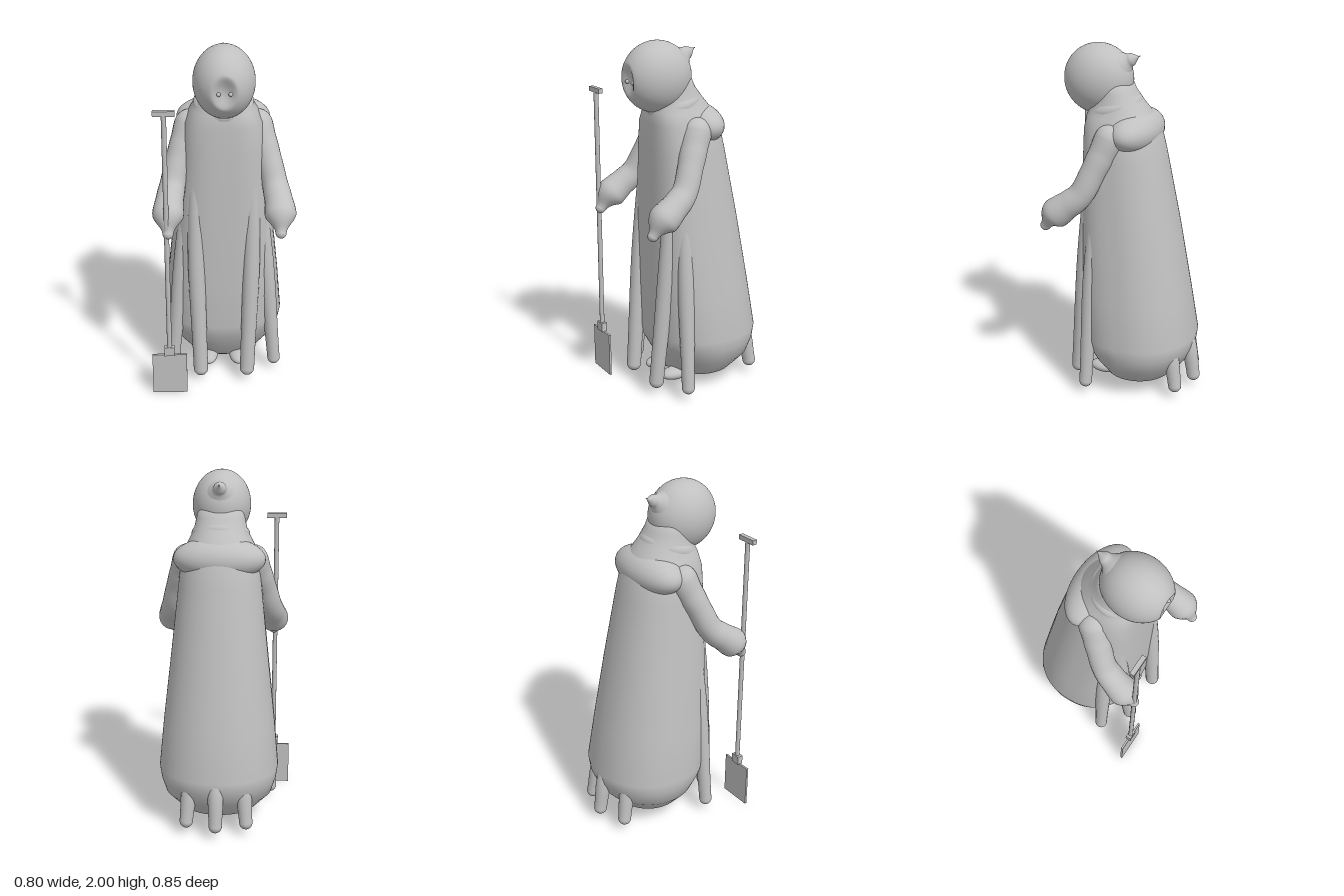
import * as THREE from 'three';
import { mergeVertices } from 'three/addons/utils/BufferGeometryUtils.js';

const grey = new THREE.MeshStandardMaterial({ color: 0xc0c0c0 });
grey.name = 'plain grey';
const V = (x, y, z) => new THREE.Vector3(x, y, z);

function add(parent, name, geometry, x = 0, y = 0, z = 0) {
  const mesh = new THREE.Mesh(geometry, grey);
  mesh.name = name;
  mesh.position.set(x, y, z);
  parent.add(mesh);
  return mesh;
}

function ellipsoid(parent, name, [x, y, z], [rx, ry, rz], detail = 32) {
  return add(parent, name, new THREE.SphereGeometry(1, detail, detail).scale(rx, ry, rz), x, y, z);
}

// Tube with a varying radius and round ends
function limb(parent, name, points, radii) {
  const curve = new THREE.CatmullRomCurve3(points.map((p) => V(...p)));
  const rings = 40, sides = 22;
  let geo = new THREE.TubeGeometry(curve, rings, 1, sides);
  const pos = geo.attributes.position, v = V(0, 0, 0);
  for (let i = 0; i <= rings; i++) {
    const centre = curve.getPointAt(i / rings);
    const t = (i / rings) * (radii.length - 1);
    const k = Math.min(Math.floor(t), radii.length - 2);
    const r = THREE.MathUtils.lerp(radii[k], radii[k + 1], THREE.MathUtils.smoothstep(t - k, 0, 1));
    for (let j = 0; j <= sides; j++) {
      const n = i * (sides + 1) + j;
      v.fromBufferAttribute(pos, n).sub(centre).multiplyScalar(r).add(centre);
      pos.setXYZ(n, v.x, v.y, v.z);
    }
  }
  geo.deleteAttribute('normal');
  geo.deleteAttribute('uv');
  geo = mergeVertices(geo, 1e-5);
  geo.computeVertexNormals();
  const group = new THREE.Group();
  group.name = name;
  add(group, name + 'Tube', geo);
  ellipsoid(group, name + 'Start', points[0], [radii[0], radii[0], radii[0]], 18);
  const e = radii[radii.length - 1];
  ellipsoid(group, name + 'End', points[points.length - 1], [e, e, e], 18);
  parent.add(group);
}

// Robe from cross-sections: height, half width, back z, front z, squareness of the front
function robeGeometry() {
  const sections = [
    [0.05, 0.15, -0.2, 0.1, 2], [0.08, 0.22, -0.26, 0.14, 2], [0.18, 0.31, -0.35, 0.195, 2.1],
    [0.26, 0.335, -0.385, 0.235, 2.3], [0.33, 0.345, -0.395, 0.25, 2.5], [0.6, 0.32, -0.35, 0.255, 2.7],
    [1.0, 0.275, -0.28, 0.255, 3], [1.4, 0.232, -0.2, 0.25, 3], [1.55, 0.215, -0.165, 0.245, 3],
    [1.62, 0.18, -0.125, 0.24, 2.6], [1.68, 0.15, -0.075, 0.22, 2.2], [1.75, 0.135, -0.02, 0.2, 2],
    [1.81, 0.125, 0.005, 0.2, 2],
  ];
  const sides = 72, verts = [], index = [];
  const bend = (c, n) => Math.sign(c) * Math.pow(Math.abs(c), 2 / n);
  for (const [y, rx, back, front, square] of sections) {
    for (let j = 0; j < sides; j++) {
      const a = (j / sides) * Math.PI * 2;
      const n = Math.sin(a) > 0 ? square : 2.1;
      verts.push(rx * bend(Math.cos(a), n), y, (back + front) / 2 + ((front - back) / 2) * bend(Math.sin(a), n));
    }
  }
  const last = (sections.length - 1) * sides, bottom = sections.length * sides;
  verts.push(0, 0.045, -0.04, 0, 1.815, 0.1);
  for (let j = 0; j < sides; j++) {
    const k = (j + 1) % sides;
    for (let i = 0; i < last; i += sides) {
      index.push(i + j, i + sides + j, i + k, i + k, i + sides + j, i + sides + k);
    }
    index.push(bottom, j, k, bottom + 1, last + k, last + j);
  }
  const geo = new THREE.BufferGeometry();
  geo.setAttribute('position', new THREE.Float32BufferAttribute(verts, 3));
  geo.setIndex(index);
  geo.computeVertexNormals();
  return geo;
}

// Egg-shaped head with a soft hollow for the face
function headGeometry() {
  const geo = new THREE.SphereGeometry(1, 80, 64).scale(0.165, 0.195, 0.197);
  const pos = geo.attributes.position;
  for (let i = 0; i < pos.count; i++) {
    const x = pos.getX(i), y = pos.getY(i), z = pos.getZ(i);
    const d = (x / 0.07) ** 2 + ((y + 0.01) / 0.095) ** 2;
    if (z > 0 && d < 1) pos.setZ(i, z - 0.046 * (1 - d) ** 1.5);
  }
  geo.computeVertexNormals();
  return geo;
}

export function createModel() {
  const model = new THREE.Group();
  model.name = 'hoodedFigure';
  const figure = new THREE.Group();
  figure.name = 'figure';
  figure.position.x = 0.008;
  model.add(figure);

  // Robe with one broad mantle over both shoulders
  add(figure, 'robe', robeGeometry());
  ellipsoid(figure, 'mantle', [0, 1.535, -0.03], [0.258, 0.12, 0.142], 40);

  // Head, collar and back point of the hood
  add(figure, 'head', headGeometry(), 0, 1.805, 0.19);
  const collar = add(figure, 'collar', new THREE.TorusGeometry(0.115, 0.044, 20, 48).scale(1.04, 1, 1), 0, 1.652, 0.092);
  collar.rotation.x = Math.PI / 2 + 0.32;
  limb(figure, 'hoodPoint', [[0, 1.86, 0.1], [0, 1.913, 0.015], [0, 1.943, -0.05]], [0.1, 0.078, 0.036, 0.002]);

  for (const s of [1, -1]) {
    const side = s > 0 ? 'left' : 'right';
    ellipsoid(figure, side + 'Eye', [s * 0.031, 1.787, 0.354], [0.011, 0.011, 0.011], 14);

    // Sleeve running into a mitten hand with a pointed tip
    limb(figure, side + 'Arm',
      [[s * 0.185, 1.515, 0.055], [s * 0.247, 1.34, 0.13], [s * 0.28, 1.215, 0.19], [s * 0.3, 1.13, 0.29],
        [s * 0.303, 1.08, 0.35], [s * 0.303, 1.02, 0.395]],
      [0.085, 0.076, 0.07, 0.07, 0.076, 0.086, 0.03]);

    // Long robe folds that end as rounded tips
    limb(figure, side + 'FrontFold', [[s * 0.15, 1.4, 0.17], [s * 0.155, 0.8, 0.222], [s * 0.135, 0.08, 0.286]],
      [0.04, 0.048, 0.042]);
    limb(figure, side + 'SideFold', [[s * 0.175, 1.3, 0.12], [s * 0.235, 0.75, 0.15], [s * 0.298, 0.075, 0.172]],
      [0.04, 0.048, 0.037]);
    limb(figure, side + 'BackFold', [[s * 0.145, 0.4, -0.275], [s * 0.157, 0.23, -0.308], [s * 0.17, 0.075, -0.334]],
      [0.03, 0.044, 0.038]);
    ellipsoid(figure, side + 'Foot', [s * 0.09, 0.075, 0.13], [0.055, 0.037, 0.095]);
  }
  limb(figure, 'middleBackFold', [[0, 0.4, -0.335], [0, 0.23, -0.368], [0, 0.075, -0.392]], [0.03, 0.044, 0.038]);

  // Shovel held upright in the right hand
  const shovel = new THREE.Group();
  shovel.name = 'shovel';
  shovel.position.set(-0.303, 0, 0.402);
  model.add(shovel);
  add(shovel, 'shaft', new THREE.CylinderGeometry(0.0135, 0.0135, 1.42, 12), 0, 1.0, 0);
  add(shovel, 'grip', new THREE.BoxGeometry(0.115, 0.027, 0.026), 0, 1.706, 0);
  add(shovel, 'socket', new THREE.BoxGeometry(0.056, 0.054, 0.034), 0, 0.281, 0);
  add(shovel, 'blade', new THREE.BoxGeometry(0.196, 0.256, 0.012), 0, 0.128, 0);
  return model;
}
